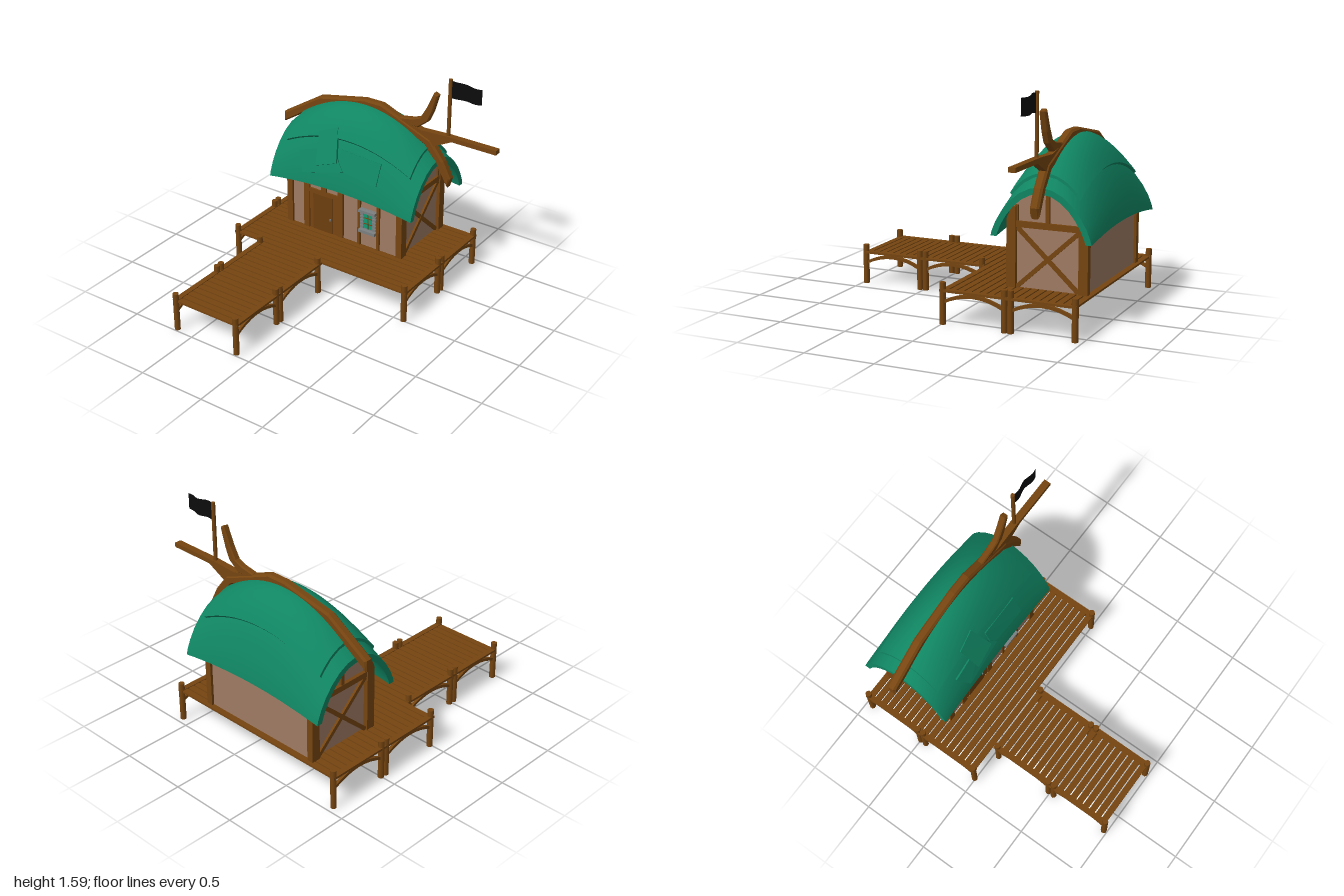
import * as THREE from 'three';
import { toCreasedNormals } from 'three/addons/utils/BufferGeometryUtils.js';
import { ConvexGeometry } from 'three/addons/geometries/ConvexGeometry.js';

const mat = (name, color, extra = {}) => {
  const m = new THREE.MeshStandardMaterial({ color, ...extra });
  m.name = name;
  return m;
};
const wood = mat('wood', 0x764510);
const doorWood = mat('door wood', 0x6c3f0e);
const roofGreen = mat('roof green', 0x108562);
const plaster = mat('plaster', 0x9f7b64);
const grey = mat('grey stone', 0x7c8080);
const glass = mat('window green', 0x149a72);
const black = mat('flag black', 0x0c0c0c, { side: THREE.DoubleSide });

const ZC = -0.645; // house centre line
const HALF = 0.355; // roof half width

// Roof rule: a barrel section whose height also arches along x
const roofBase = x => 0.655 - 0.05 * ((x + 0.175) / 0.615) ** 2;
const roofTop = x => 1.215 - 0.26 * ((x + 0.175) / 0.615) ** 2;
const roofPoint = (x, a, off) => {
  const b = roofBase(x);
  const y = b + (roofTop(x) - b) * Math.pow(Math.max(0, Math.cos(a)), 1.5);
  return [x, y + off * Math.cos(a), ZC + (HALF + off) * Math.sin(a)];
};
const roofZ = (x, y) => {
  const f = Math.max(0, (y - roofBase(x)) / (roofTop(x) - roofBase(x)));
  return ZC + HALF * Math.sqrt(Math.max(0, 1 - Math.pow(f, 4 / 3)));
};

// Closed curved slab lying on the roof rule
function roofSlab(x0, x1, aMax, outer, inner) {
  const NX = 18, NA = 14, row = 2 * (NA + 1), pos = [], idx = [];
  for (let i = 0; i <= NX; i++) {
    const x = x0 + (x1 - x0) * i / NX;
    for (const off of [outer, inner])
      for (let k = 0; k <= NA; k++) pos.push(...roofPoint(x, aMax * (2 * k / NA - 1), off));
  }
  const quad = (a, b, c, d) => idx.push(a, b, c, b, d, c);
  for (let i = 0; i < NX; i++) {
    const p = i * row, q = p + row, m = NA + 1;
    for (let k = 0; k < NA; k++) {
      quad(p + k, p + k + 1, q + k, q + k + 1);
      quad(p + m + k + 1, p + m + k, q + m + k + 1, q + m + k);
    }
    quad(p + m, p, q + m, q);
    quad(p + NA, p + m + NA, q + NA, q + m + NA);
  }
  const e = NX * row, m = NA + 1;
  for (let k = 0; k < NA; k++) {
    quad(e + k, e + k + 1, e + m + k, e + m + k + 1);
    quad(k + 1, k, m + k + 1, m + k);
  }
  const g = new THREE.BufferGeometry();
  g.setAttribute('position', new THREE.Float32BufferAttribute(pos, 3));
  g.setIndex(idx);
  return toCreasedNormals(g, 0.5);
}

export function createModel() {
  const root = new THREE.Group();
  root.name = 'dock house';
  const add = (name, geo, m, parent = root) => {
    const mesh = new THREE.Mesh(geo, m);
    mesh.name = name;
    parent.add(mesh);
    return mesh;
  };
  // Box given by its min and max on each axis
  const box = (name, x0, x1, y0, y1, z0, z1, m = wood, parent = root) => {
    const mesh = add(name, new THREE.BoxGeometry(x1 - x0, y1 - y0, z1 - z0), m, parent);
    mesh.position.set((x0 + x1) / 2, (y0 + y1) / 2, (z0 + z1) / 2);
    return mesh;
  };
  const polygon = pts => new THREE.Shape(pts.map(p => new THREE.Vector2(...p)));

  // Docks: planks, side rails, posts and arched braces
  function dock(name, xl, xr, zBack, zFront, planks, postZ) {
    const g = new THREE.Group();
    g.name = name;
    root.add(g);
    const step = (zFront - zBack) / planks;
    for (let i = 0; i < planks; i++) {
      const z = zBack + i * step;
      box('plank', xl, xr, 0.224, 0.238, z + 0.005, z + step - 0.005, wood, g);
    }
    for (const x of [xl, xr]) {
      box('sideRail', x - 0.02, x + 0.02, 0.226, 0.242, zBack, zFront, wood, g);
      postZ.forEach((z, i) => {
        const post = add('post', new THREE.CylinderGeometry(0.022, 0.022, 0.29, 8), wood, g);
        post.position.set(x, 0.145, z);
        post.rotation.y = Math.PI / 8;
        const L = (postZ[i + 1] ?? z) - z;
        if (L < 0.1) return;
        const s = new THREE.Shape();
        s.moveTo(0, 0.14);
        s.quadraticCurveTo(L / 2, 0.262, L, 0.14);
        s.lineTo(L, 0.163);
        s.quadraticCurveTo(L / 2, 0.285, 0, 0.163);
        const arch = new THREE.ExtrudeGeometry(s, { depth: 0.022, bevelEnabled: false, curveSegments: 8 });
        arch.rotateY(-Math.PI / 2).translate(x + 0.011, 0, z);
        add('archBrace', arch, wood, g);
      });
    }
  }
  dock('mainDock', -0.88, 0.58, -0.965, 0.01, 18, [-0.95, -0.5, -0.455, -0.007]);
  dock('pier', -0.645, -0.125, 0.012, 0.985, 18, [0.036, 0.485, 0.53, 0.975]);

  // House body, its top kept just below the roof
  const outline = [[ZC + 0.272, 0.235]];
  for (let i = 0; i <= 10; i++) {
    const [, y, z] = roofPoint(0.31, 0.87 * (1 - i / 5), -0.035);
    outline.push([ZC + (z - ZC) * 1.11, y - 0.01]);
  }
  outline.push([ZC - 0.272, 0.235]);
  const body = new THREE.ExtrudeGeometry(polygon(outline), { depth: 0.95, bevelEnabled: false });
  body.rotateY(-Math.PI / 2).translate(0.302, 0, 0);
  add('houseWalls', body, plaster);

  // Timber frame
  for (const x of [-0.657, 0.305])
    for (const s of [1, -1]) {
      const z = ZC + s * 0.257;
      box('cornerPost', x - 0.024, x + 0.024, 0.235, 0.79, z - 0.033, z + 0.033);
    }
  for (const [x0, x1] of [[-0.53, -0.48], [-0.228, -0.182], [-0.052, -0.03], [0.112, 0.135]])
    box('frontPost', x0, x1, 0.235, 0.78, -0.4, -0.357);
  box('doorLintel', -0.48, -0.228, 0.54, 0.57, -0.4, -0.36);
  box('lintelPost', -0.378, -0.332, 0.57, 0.78, -0.4, -0.36);

  // Gable timbers on both ends
  for (const x of [-0.66, 0.306]) {
    const end = new THREE.Group();
    end.name = 'gableTimbers';
    root.add(end);
    box('crossBeam', x - 0.014, x + 0.014, 0.65, 0.692, ZC - 0.23, ZC + 0.23, wood, end);
    box('kingPost', x - 0.012, x + 0.012, 0.69, 0.96, ZC - 0.014, ZC + 0.014, wood, end);
    for (const s of [1, -1]) {
      box('sidePost', x - 0.01, x + 0.01, 0.69, 0.8, ZC + s * 0.222 - 0.01, ZC + s * 0.222 + 0.01, wood, end);
      const brace = add('diagonalBrace', new THREE.BoxGeometry(0.02 + s * 0.003, 0.03, 0.595), wood, end);
      brace.position.set(x, 0.445, ZC);
      brace.rotation.x = s * 0.745;
    }
  }

  // Door
  box('doorPanel', -0.48, -0.228, 0.235, 0.54, -0.39, -0.366, wood);
  box('doorLeaf', -0.448, -0.28, 0.238, 0.535, -0.38, -0.361, doorWood);
  box('doorHandle', -0.297, -0.287, 0.345, 0.362, -0.37, -0.354, grey);

  // Window with sills, shutters and glazing bars
  box('windowBacking', -0.03, 0.112, 0.365, 0.545, -0.39, -0.365, grey);
  box('windowGlass', 0.0, 0.08, 0.39, 0.515, -0.37, -0.36, glass);
  box('windowSill', -0.03, 0.11, 0.357, 0.38, -0.38, -0.335, grey);
  box('windowHood', -0.03, 0.11, 0.522, 0.543, -0.38, -0.335, grey);
  for (const x of [-0.012, 0.092])
    for (let i = 0; i < 5; i++)
      box('shutterSlat', x - 0.016, x + 0.016, 0.388 + i * 0.026, 0.408 + i * 0.026, -0.37, -0.354, grey);
  box('windowMullion', 0.036, 0.044, 0.39, 0.515, -0.37, -0.356, wood);
  for (const y of [0.425, 0.472]) box('windowBar', 0.008, 0.072, y, y + 0.006, -0.37, -0.357, wood);

  // Roof shell and raised upper layer
  add('roof', roofSlab(-0.79, 0.44, Math.PI / 2, 0, -0.042), roofGreen);
  add('upperRoofLayer', roofSlab(-0.71, 0.36, 0.735, 0.018, -0.01), roofGreen);

  // Mended patches on the front slope: corners in x, y and lift
  const patch = (lift, corners) => add('roofPatch', new ConvexGeometry(corners.flatMap(([x, y]) => {
    const z = roofZ(x, y) + lift;
    return [new THREE.Vector3(x, y, z), new THREE.Vector3(x, y - 0.012, z - 0.025)];
  })), roofGreen);
  patch(0.01, [[-0.2, 0.96], [0.13, 0.935], [0.13, 0.785], [-0.2, 0.82]]);
  patch(0.016, [[-0.56, 0.865], [-0.27, 0.95], [-0.15, 0.815], [-0.49, 0.725]]);
  patch(0.03, [[-0.425, 1.03], [-0.275, 1.09], [-0.21, 0.87], [-0.38, 0.81]]);

  // Ridge beam, forked branch and long spar
  const slab = (name, pts, depth, bevel) => {
    const geo = new THREE.ExtrudeGeometry(polygon(pts), {
      depth: depth - 2 * bevel, bevelEnabled: bevel > 0, bevelSegments: 1,
      bevelSize: bevel, bevelThickness: bevel, bevelOffset: -bevel,
    });
    geo.translate(0, 0, ZC - depth / 2 + bevel);
    add(name, geo, wood);
  };
  slab('ridgeBeam', [[-0.895, 0.895], [-0.56, 1.11], [-0.18, 1.2], [-0.04, 1.2], [0.12, 1.14], [0.33, 1.05],
    [0.43, 0.93], [0.53, 0.765], [0.552, 0.84], [0.49, 0.96], [0.38, 1.1], [0.13, 1.2], [-0.03, 1.265],
    [-0.18, 1.265], [-0.57, 1.183], [-0.895, 0.975]], 0.066, 0.014);
  slab('spar', [[0.12, 1.15], [0.38, 1.045], [0.55, 1.132], [0.9, 1.132], [0.9, 1.165], [0.5, 1.165],
    [0.3, 1.155], [0.12, 1.2]], 0.05, 0);
  slab('branch', [[0.12, 1.17], [0.27, 1.165], [0.35, 1.23], [0.385, 1.31], [0.425, 1.448], [0.392, 1.462],
    [0.335, 1.33], [0.29, 1.25], [0.23, 1.225], [0.12, 1.205]], 0.048, 0.008);

  // Flagpole and waving flag
  const pole = add('flagPole', new THREE.CylinderGeometry(0.014, 0.014, 0.44, 8), wood);
  pole.position.set(0.51, 1.37, ZC);
  const flag = new THREE.PlaneGeometry(0.24, 0.13, 12, 4);
  const p = flag.attributes.position;
  for (let i = 0; i < p.count; i++) {
    const u = p.getX(i) / 0.24 + 0.5;
    p.setZ(i, 0.008 * Math.sin(u * 9));
    p.setY(i, p.getY(i) * (1 - 0.12 * u) + 0.004 * Math.sin(u * 7));
  }
  flag.computeVertexNormals();
  add('flag', flag, black).position.set(0.64, 1.516, ZC);

  return root;
}
